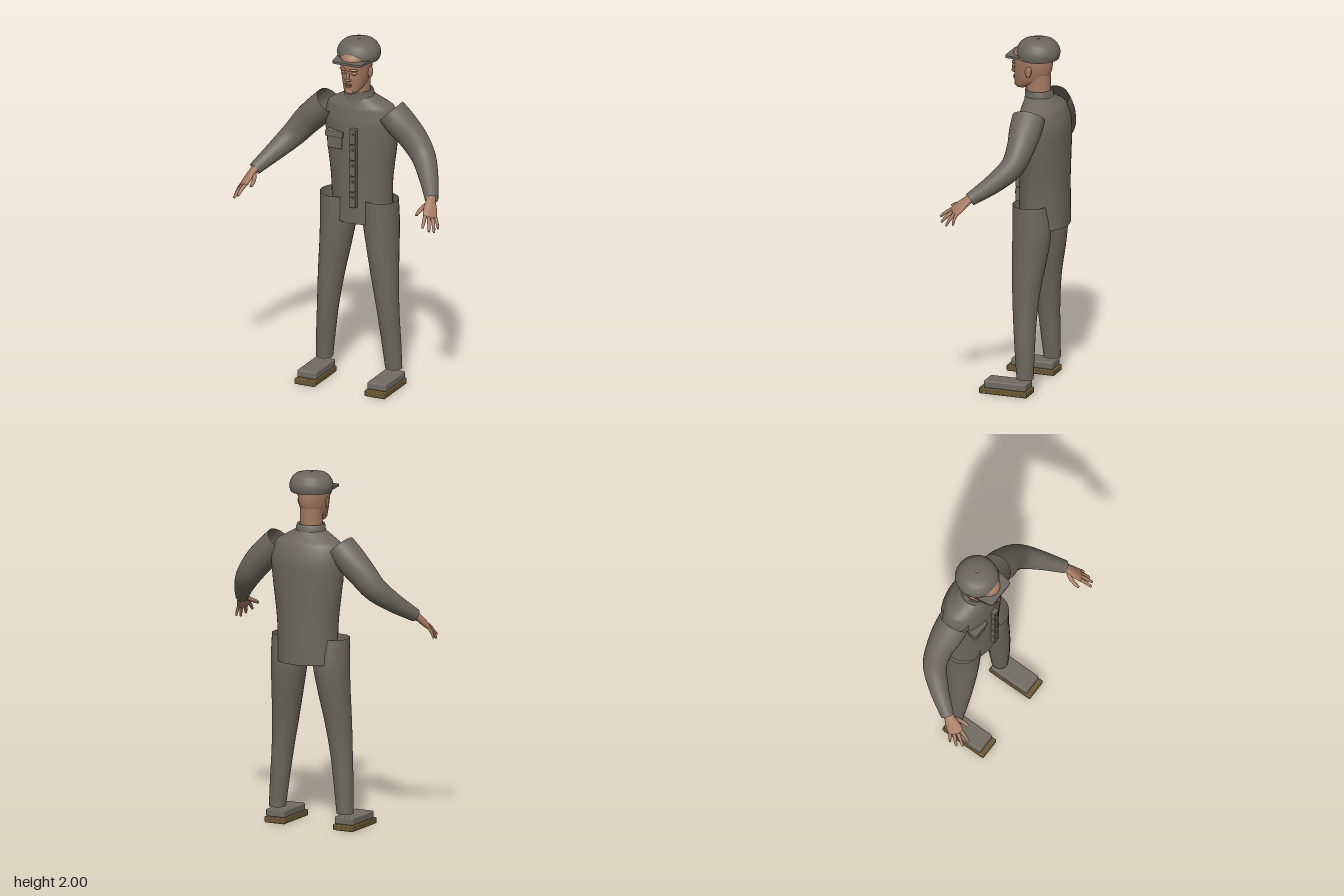
import * as THREE from 'three';
import { RoundedBoxGeometry } from 'three/addons/geometries/RoundedBoxGeometry.js';

const mat = (name, color, side = THREE.FrontSide) => {
  const m = new THREE.MeshStandardMaterial({ color, side });
  m.name = name;
  return m;
};
const V = (x, y, z) => new THREE.Vector3(x, y, z);

// Smooth skin over elliptical rings along a path. stations: [x, y, z, radiusU, radiusV].
// Without ref the rings stay level (path must rise); with ref they follow the path.
function loft(stations, { ref = null, sides = 28, steps = 5 } = {}) {
  const path = new THREE.CatmullRomCurve3(stations.map(s => V(s[0], s[1], s[2])));
  const radii = new THREE.CatmullRomCurve3(stations.map((s, i) => V(s[3], s[4], i * 0.03)));
  const rows = (stations.length - 1) * steps, pos = [], idx = [];
  for (let i = 0; i <= rows; i++) {
    const k = i / rows, c = path.getPoint(k), r = radii.getPoint(k);
    const t = ref ? path.getTangent(k) : V(0, 1, 0);
    const u = (ref || V(1, 0, 0)).clone();
    u.addScaledVector(t, -u.dot(t)).normalize();
    const v = t.clone().cross(u);
    for (let j = 0; j < sides; j++) {
      const a = j / sides * Math.PI * 2;
      const p = c.clone().addScaledVector(u, Math.cos(a) * r.x).addScaledVector(v, Math.sin(a) * r.y);
      pos.push(p.x, p.y, p.z);
      if (i < rows) {
        const n = (j + 1) % sides, A = i * sides + j, B = i * sides + n;
        idx.push(A, B, A + sides, B, B + sides, A + sides);
      }
    }
  }
  const g = new THREE.BufferGeometry();
  g.setAttribute('position', new THREE.Float32BufferAttribute(pos, 3));
  g.setIndex(idx);
  g.computeVertexNormals();
  return g;
}

// Level section: height, half width, front z, back z, centre x
const sec = (y, rx, zf, zb, cx = 0) => [cx, y, (zf + zb) / 2, rx, (zf - zb) / 2];

export function createModel() {
  const root = new THREE.Group();
  const cloth = mat('cloth', 0x6b675d, THREE.DoubleSide);
  const skin = mat('skin', 0xa67b62);
  const lip = mat('lips', 0x8f6351);
  const eye = mat('eyes', 0x6a4d40);
  const shoe = mat('shoe upper', 0x706c64);
  const brown = mat('brown leather', 0x6b5534);

  const add = (name, geo, m, x = 0, y = 0, z = 0, parent = root) => {
    const mesh = new THREE.Mesh(geo, m);
    mesh.name = name;
    mesh.position.set(x, y, z);
    parent.add(mesh);
    return mesh;
  };
  const ball = (name, m, p, s, parent = root) => {
    const b = add(name, new THREE.SphereGeometry(1, 20, 14), m, ...p, parent);
    b.scale.set(...s);
    return b;
  };
  const box = (name, m, w, h, d, x, y, z, r = 0.005, parent = root) =>
    add(name, new RoundedBoxGeometry(w, h, d, 2, r), m, x, y, z, parent);

  // Jacket and collar
  add('jacket', loft([
    sec(0.94, 0.177, 0, -0.272), sec(1.08, 0.175, 0, -0.272), sec(1.2, 0.182, 0, -0.27),
    sec(1.4, 0.208, 0.002, -0.272), sec(1.52, 0.218, 0, -0.268), sec(1.61, 0.195, -0.012, -0.238),
    sec(1.645, 0.14, -0.022, -0.205), sec(1.675, 0.084, -0.028, -0.18),
  ], { sides: 48 }), cloth);
  add('collar', loft([
    sec(1.655, 0.088, -0.02, -0.185), sec(1.69, 0.082, -0.024, -0.18),
    sec(1.71, 0.076, -0.024, -0.172), sec(1.705, 0.064, -0.03, -0.165),
  ], { steps: 3 }), cloth);

  // Button placket made of five plates
  for (let i = 0; i < 5; i++) {
    const y = 1.46 - i * 0.093;
    box('placketPlate', cloth, 0.037, 0.089, 0.04, 0.018, y, 0.006, 0.004);
    const b = add('button', new THREE.CylinderGeometry(0.009, 0.009, 0.008, 14), brown, 0.018, y + 0.015, 0.028);
    b.rotation.x = Math.PI / 2;
  }

  // Chest pocket
  box('pocket', cloth, 0.088, 0.075, 0.045, -0.103, 1.405, -0.017);
  box('pocketFlap', cloth, 0.108, 0.034, 0.055, -0.103, 1.453, -0.015);

  // Head and neck
  const head = new THREE.Group();
  head.name = 'head';
  root.add(head);
  add('neck', loft([
    sec(1.64, 0.064, -0.03, -0.165), sec(1.72, 0.06, -0.028, -0.165), sec(1.8, 0.062, -0.02, -0.168),
  ]), skin, 0, 0, 0, head);
  add('skull', loft([
    sec(1.709, 0.003, 0.012, 0), sec(1.713, 0.026, 0.03, -0.03), sec(1.73, 0.045, 0.04, -0.07),
    sec(1.76, 0.062, 0.041, -0.135), sec(1.8, 0.073, 0.043, -0.165), sec(1.835, 0.079, 0.044, -0.175),
    sec(1.88, 0.083, 0.05, -0.178), sec(1.92, 0.08, 0.043, -0.172), sec(1.945, 0.068, 0.018, -0.155),
    sec(1.97, 0.035, -0.03, -0.125), sec(1.978, 0.002, -0.07, -0.08),
  ], { sides: 32 }), skin, 0, 0, 0, head);
  const bridge = ball('noseBridge', skin, [0, 1.825, 0.046], [0.009, 0.034, 0.012], head);
  bridge.rotation.x = -0.2;
  ball('noseTip', skin, [0, 1.802, 0.05], [0.013, 0.01, 0.013], head);
  ball('upperLip', lip, [0, 1.773, 0.041], [0.024, 0.005, 0.007], head);
  ball('lowerLip', lip, [0, 1.763, 0.041], [0.02, 0.006, 0.007], head);
  ball('chin', skin, [0, 1.731, 0.03], [0.025, 0.015, 0.013], head);
  for (const s of [-1, 1]) {
    ball('nostril', skin, [s * 0.011, 1.8, 0.043], [0.008, 0.007, 0.009], head);
    ball('brow', skin, [s * 0.033, 1.86, 0.039], [0.025, 0.007, 0.009], head).rotation.y = s * 0.35;
    ball('eyelid', skin, [s * 0.033, 1.84, 0.034], [0.016, 0.009, 0.009], head).rotation.y = s * 0.3;
    ball('eye', eye, [s * 0.033, 1.837, 0.04], [0.012, 0.0025, 0.004], head).rotation.y = s * 0.3;
    const ear = ball('ear', skin, [s * 0.084, 1.825, -0.068], [0.009, 0.032, 0.02], head);
    ear.rotation.set(-0.15, s * -0.25, 0);
  }

  // Cap with visor and top button
  const crown = [[0.113, 1.888], [0.119, 1.905], [0.122, 1.925], [0.117, 1.948], [0.103, 1.972],
    [0.085, 1.988], [0.05, 1.996], [0, 1.998]].map(p => new THREE.Vector2(...p));
  add('capCrown', new THREE.LatheGeometry(crown, 32), cloth, 0, 0, -0.096);
  box('capButton', skin, 0.014, 0.006, 0.014, 0, 1.997, -0.096, 0.002);
  const brim = new THREE.Shape();
  brim.moveTo(-0.1, 0.03);
  brim.lineTo(-0.088, -0.055);
  brim.quadraticCurveTo(-0.086, -0.07, -0.07, -0.071);
  brim.lineTo(0.07, -0.071);
  brim.quadraticCurveTo(0.086, -0.07, 0.088, -0.055);
  brim.lineTo(0.1, 0.03);
  const visor = add('capVisor', new THREE.ExtrudeGeometry(brim, { depth: 0.013, bevelEnabled: false }), cloth, 0, 1.894, 0);
  visor.rotation.x = -Math.PI / 2;

  for (const s of [-1, 1]) {
    // Trouser leg, open at both ends
    add('trouserLeg', loft([
      sec(0.095, 0.047, -0.05, -0.145, s * 0.212), sec(0.25, 0.054, -0.035, -0.147, s * 0.2),
      sec(0.42, 0.061, -0.02, -0.152, s * 0.184), sec(0.6, 0.074, -0.008, -0.168, s * 0.165),
      sec(0.8, 0.09, 0, -0.203, s * 0.143), sec(0.94, 0.101, 0.001, -0.216, s * 0.131),
      sec(1.08, 0.1, 0.001, -0.2, s * 0.131),
    ]), cloth);

    // Shoe
    box('shoeUpper', shoe, 0.116, 0.042, 0.245, s * 0.215, 0.055, 0.002, 0.008);
    box('shoeSole', brown, 0.124, 0.035, 0.28, s * 0.215, 0.0175, 0.01, 0.006);

    // Sleeve, open at the shoulder and cuff
    const side = V(0, 0, 1);
    add('sleeve', loft([
      [s * 0.19, 1.597, -0.11, 0.092, 0.08], [s * 0.25, 1.535, -0.112, 0.09, 0.084],
      [s * 0.325, 1.46, -0.112, 0.076, 0.08], [s * 0.395, 1.375, -0.092, 0.066, 0.07],
      [s * 0.465, 1.295, -0.015, 0.055, 0.055], [s * 0.543, 1.207, 0.103, 0.037, 0.036],
    ], { ref: side }), cloth);

    // Hand: palm, four fingers and thumb
    const hand = new THREE.Group();
    hand.name = 'hand';
    root.add(hand);
    add('palm', loft([
      [s * 0.527, 1.228, 0.08, 0.026, 0.022], [s * 0.545, 1.2, 0.118, 0.03, 0.02],
      [s * 0.56, 1.165, 0.155, 0.041, 0.018], [s * 0.573, 1.138, 0.185, 0.041, 0.014],
      [s * 0.577, 1.13, 0.193, 0.004, 0.003],
    ], { ref: V(s * 0.055, -0.03, -0.04), sides: 20 }), skin, 0, 0, 0, hand);
    const finger = (name, base, mid, tip, r) => add(name, loft([
      [s * base[0], base[1], base[2], r, r], [s * mid[0], mid[1], mid[2], r * 0.92, r * 0.92],
      [s * tip[0], tip[1], tip[2], r * 0.6, r * 0.6],
      [s * tip[0] + s * 0.0005, tip[1] - 0.002, tip[2] + 0.002, 0.0005, 0.0005],
    ], { ref: V(1, 0, 0), sides: 12 }), skin, 0, 0, 0, hand);
    finger('indexFinger', [0.547, 1.153, 0.19], [0.559, 1.128, 0.232], [0.566, 1.1, 0.266], 0.0105);
    finger('middleFinger', [0.565, 1.145, 0.185], [0.585, 1.11, 0.222], [0.598, 1.078, 0.25], 0.0105);
    finger('ringFinger', [0.58, 1.135, 0.175], [0.602, 1.097, 0.2], [0.613, 1.064, 0.217], 0.01);
    finger('littleFinger', [0.592, 1.135, 0.158], [0.609, 1.105, 0.17], [0.618, 1.073, 0.176], 0.009);
    finger('thumb', [0.53, 1.19, 0.135], [0.512, 1.17, 0.175], [0.508, 1.15, 0.222], 0.0125);
  }
  return root;
}
